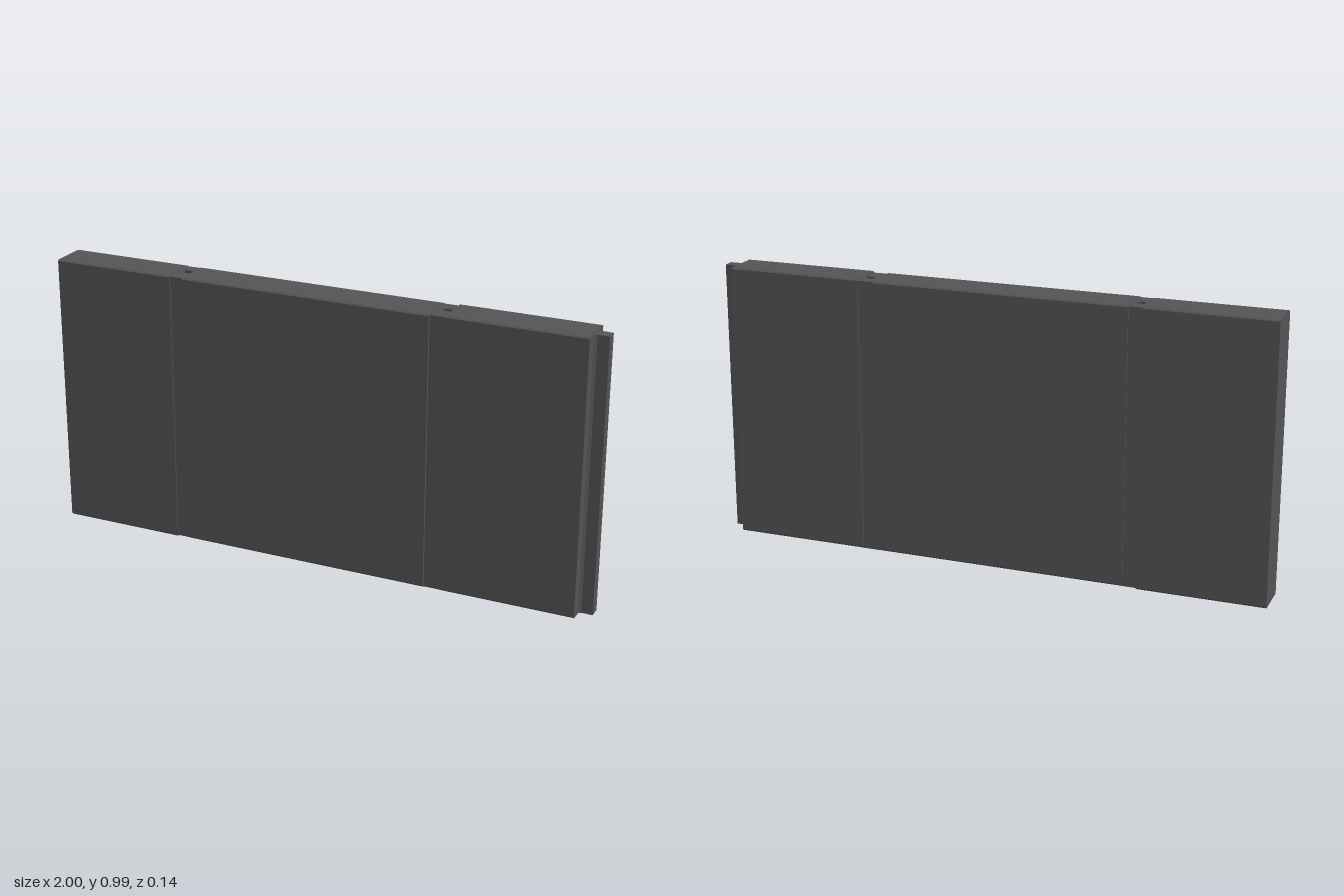
import * as THREE from 'three';

export function createModel() {
  const group = new THREE.Group();
  const grey = new THREE.MeshStandardMaterial({ color: 0x555556 });
  grey.name = 'dark grey';

  function add(name, geometry) {
    const mesh = new THREE.Mesh(geometry, grey);
    mesh.name = name;
    group.add(mesh);
    return mesh;
  }

  // Slab running along x, with its long top and bottom edges chamfered
  function slab(name, x0, x1, y0, y1, z0, z1, c) {
    const shape = new THREE.Shape([
      [-z1, y0 + c], [-z1 + c, y0], [-z0 - c, y0], [-z0, y0 + c],
      [-z0, y1 - c], [-z0 - c, y1], [-z1 + c, y1], [-z1, y1 - c],
    ].map(([a, b]) => new THREE.Vector2(a, b)));
    const g = new THREE.ExtrudeGeometry(shape, { depth: x1 - x0, bevelEnabled: false });
    g.rotateY(Math.PI / 2).translate(x0, 0, 0);
    add(name, g);
  }

  // Upright piece extruded from a plan of [x, z] points, with an optional hole
  function upright(name, plan, y0, y1, hole) {
    const toPoints = (list) => list.map(([x, z]) => new THREE.Vector2(x, -z));
    const shape = new THREE.Shape(toPoints(plan));
    if (hole) shape.holes.push(new THREE.Path(toPoints(hole)));
    const g = new THREE.ExtrudeGeometry(shape, { depth: y1 - y0, bevelEnabled: false });
    g.rotateX(-Math.PI / 2).translate(0, y0, 0);
    add(name, g);
  }
  const rect = (x0, x1, z0, z1) => [[x0, z1], [x1, z1], [x1, z0], [x0, z0]];

  // Three main panels
  slab('rightPanel', -1, -0.55, 0, 0.987, -0.07, 0.068, 0.005);
  slab('middlePanel', -0.5, 0.41, 0.004, 0.987, -0.07, 0.07, 0.005);
  slab('leftPanel', 0.465, 0.95, 0.004, 0.99, -0.07, 0.068, 0.005);

  // Recessed joint strips with vertical through-holes
  upright('rightJoint', rect(-0.55, -0.5, -0.066, 0.064), 0.004, 0.985,
    [[-0.538, -0.024], [-0.538, 0.004], [-0.522, 0.008], [-0.504, -0.004], [-0.504, -0.018]]);
  upright('leftJoint', rect(0.41, 0.465, -0.066, 0.062), 0.004, 0.985,
    [[0.426, -0.018], [0.426, -0.004], [0.434, 0.004], [0.462, 0.004], [0.462, -0.022], [0.434, -0.022]]);

  // Tongue on the left end, with a slightly wider foot
  upright('tongue', [[0.95, 0.026], [0.96, 0.02], [1, 0.02], [1, -0.02], [0.96, -0.022], [0.95, -0.03]],
    0.006, 0.986);

  // Small fixing heads in the joint strips
  const heads = [
    [-0.525, 0.08, 0.064], [-0.525, 0.31, 0.064],
    [0.43, 0.08, 0.062], [0.43, 0.31, 0.062], [0.43, 0.59, 0.062], [0.43, 0.89, 0.062],
  ];
  for (const [x, y, z] of heads) {
    const g = new THREE.CylinderGeometry(0.007, 0.007, 0.004, 8);
    g.rotateX(Math.PI / 2);
    add('fixingHead', g).position.set(x, y, z);
  }
  return group;
}
